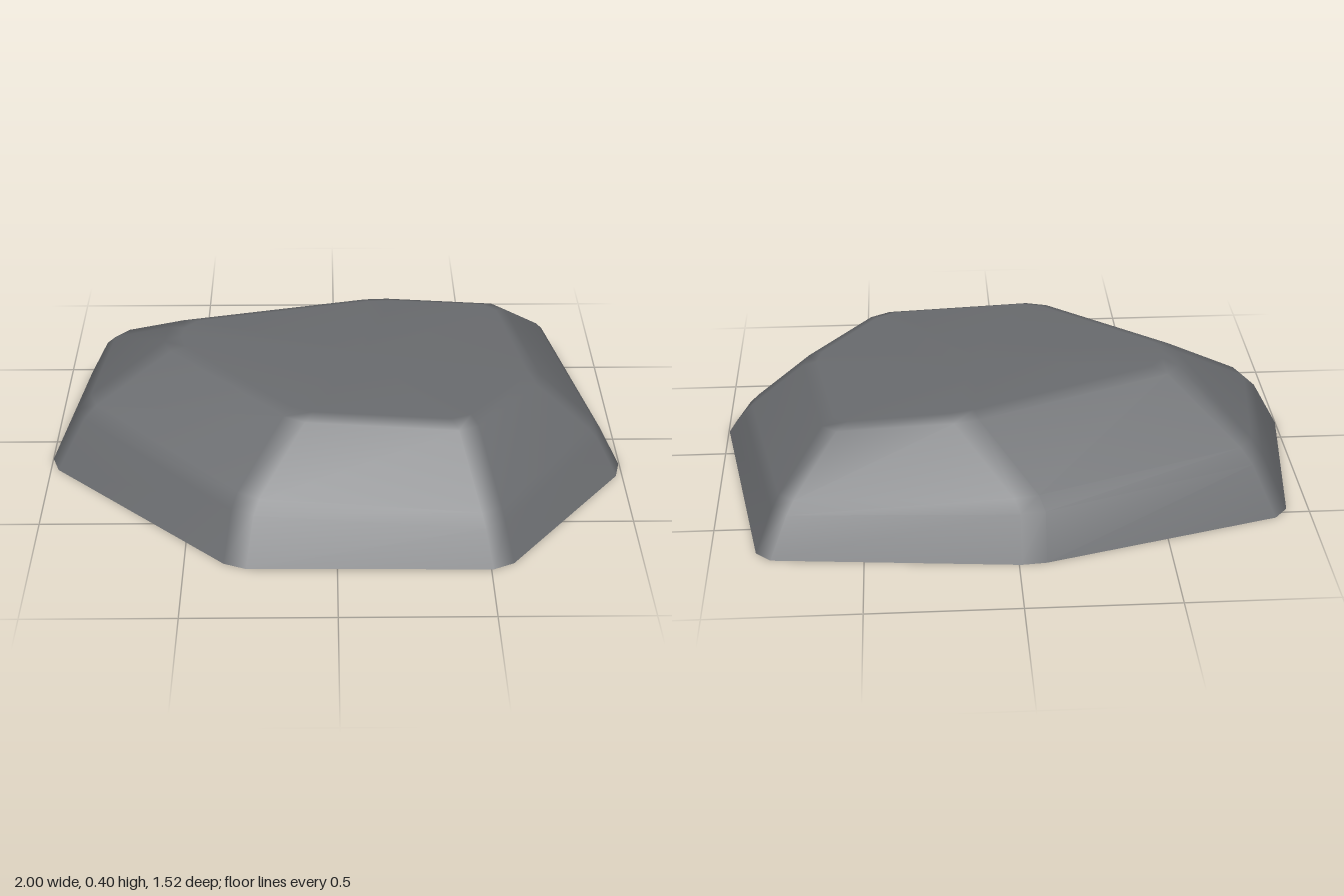
import * as THREE from 'three';

// Corner rings [x, y, z], clockwise seen from above, starting at the back left
const BASE = [[-0.92, 0, -0.52], [-0.05, 0, -0.765], [0.845, 0, -0.685], [1.005, 0, 0.2],
  [0.55, 0, 0.76], [-0.34, 0, 0.75], [-1.005, 0, 0.15]];
const MID = [[-0.83, 0.2, -0.44], [-0.05, 0.17, -0.68], [0.78, 0.15, -0.61], [0.93, 0.13, 0.13],
  [0.52, 0.13, 0.68], [-0.31, 0.17, 0.64], [-0.89, 0.215, 0.1]];
const TOP = [[-0.56, 0.403, -0.17], [0.17, 0.361, -0.41], [0.61, 0.336, -0.41], [0.7, 0.331, 0.1],
  [0.44, 0.345, 0.42], [-0.13, 0.376, 0.41], [-0.58, 0.403, -0.02]];

// Underside triangles over the 14 chamfered base points: broad faces and dark corner slivers
const BROAD = [3, 4, 6, 7, 8, 3, 8, 9, 3, 9, 10, 3, 11, 12, 2, 13, 1, 2];
const SLIVERS = [4, 5, 6, 6, 7, 3, 10, 11, 2, 10, 2, 3, 12, 13, 2, 13, 0, 1];

const toVectors = (ring) => ring.map((p) => new THREE.Vector3(...p));
const blend = (a, b, t) => a.map((p, i) => p.clone().lerp(b[i], t));

// Cut every corner of a ring, leaving two points per corner
function chamfer(ring, d) {
  const n = ring.length;
  return ring.flatMap((p, i) => [ring[(i + n - 1) % n], ring[(i + 1) % n]]
    .map((q) => p.clone().lerp(q, Math.min(0.35, d / p.distanceTo(q)))));
}

function makeMesh(name, points, index, material) {
  const geometry = new THREE.BufferGeometry().setFromPoints(points);
  geometry.setIndex(index);
  geometry.computeVertexNormals();
  const mesh = new THREE.Mesh(geometry, material);
  mesh.name = name;
  return mesh;
}

function makeMaterial(name, color) {
  const material = new THREE.MeshStandardMaterial({ color });
  material.name = name;
  return material;
}

export function createModel() {
  const group = new THREE.Group();
  group.name = 'rock';
  const stone = makeMaterial('grey stone', 0x6a6c6f);
  const dark = makeMaterial('black stone', 0x050505);

  // Rows from the ground to the flat top, doubled along each bevelled ridge
  const [base, mid, top] = [BASE, MID, TOP].map(toVectors);
  const topCentre = top.reduce((s, p) => s.add(p), new THREE.Vector3()).divideScalar(top.length);
  const rows = [
    base,
    blend(mid, base, 0.14),
    blend(mid, top, 0.09),
    blend(top, mid, 0.08),
    blend(top, top.map(() => topCentre), 0.05),
  ].map((ring) => chamfer(ring, 0.042));
  const n = rows[0].length;

  // Faceted sides and top with softly rounded ridges
  const points = [...rows.flat(), topCentre];
  const index = [];
  for (let r = 0; r < rows.length - 1; r++) {
    for (let i = 0; i < n; i++) {
      const a = r * n + i, b = r * n + (i + 1) % n;
      index.push(b, a, a + n, b, a + n, b + n);
    }
  }
  const last = (rows.length - 1) * n;
  for (let i = 0; i < n; i++) index.push(last + (i + 1) % n, last + i, points.length - 1);
  group.add(makeMesh('stoneBody', points, index, stone));

  // Flat underside with dark slivers running in from the corners
  group.add(makeMesh('underside', rows[0], BROAD, stone));
  group.add(makeMesh('undersideSlivers', rows[0], SLIVERS, dark));

  return group;
}
